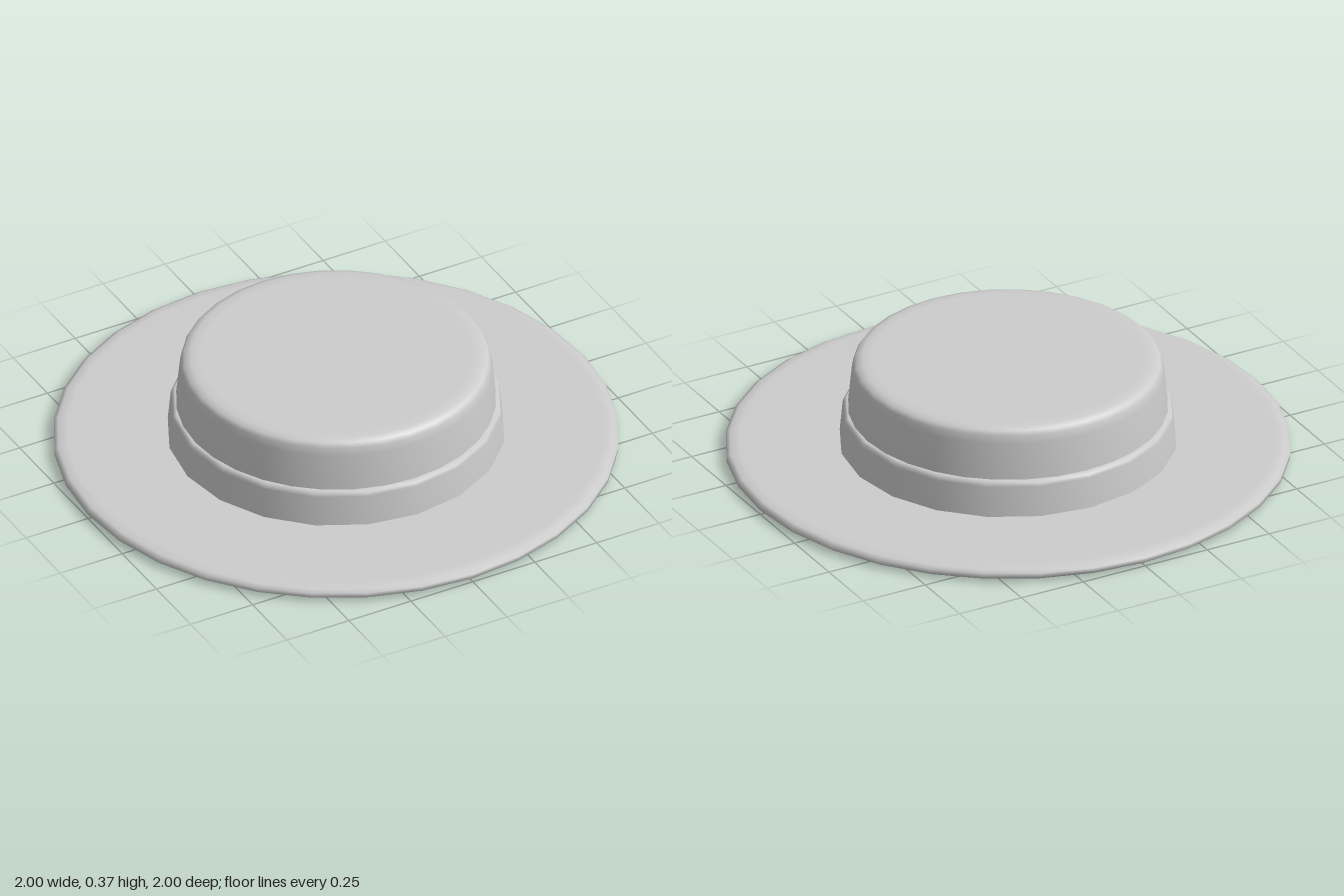
import * as THREE from 'three';

// Surface of revolution from [radius, height] pairs, listed from bottom to top
function turned(name, profile, sides, material) {
  const points = profile.map(([r, y]) => new THREE.Vector2(r, y));
  const mesh = new THREE.Mesh(new THREE.LatheGeometry(points, sides), material);
  mesh.name = name;
  return mesh;
}

export function createModel() {
  const hat = new THREE.Group();
  hat.name = 'flatHat';

  const felt = new THREE.MeshStandardMaterial({ color: 0xcccccc });
  felt.name = 'light grey felt';

  // Wide flat brim with a rounded rim, closed underneath
  hat.add(turned('brim', [
    [0, 0.005], [0.95, 0.005], [0.985, 0.01], [1, 0.02],
    [1, 0.037], [0.985, 0.046], [0.95, 0.052], [0.5, 0.052],
  ], 32, felt));

  // Tapered crown with a softened top edge
  hat.add(turned('crown', [
    [0.575, 0.04], [0.566, 0.19], [0.553, 0.32], [0.548, 0.35],
    [0.538, 0.365], [0.515, 0.373], [0.48, 0.375], [0, 0.375],
  ], 32, felt));

  // Coarser band wrapped round the foot of the crown
  hat.add(turned('band', [
    [0.6, 0.04], [0.598, 0.06], [0.588, 0.165], [0.584, 0.178],
    [0.574, 0.185], [0.555, 0.185],
  ], 20, felt));

  return hat;
}
